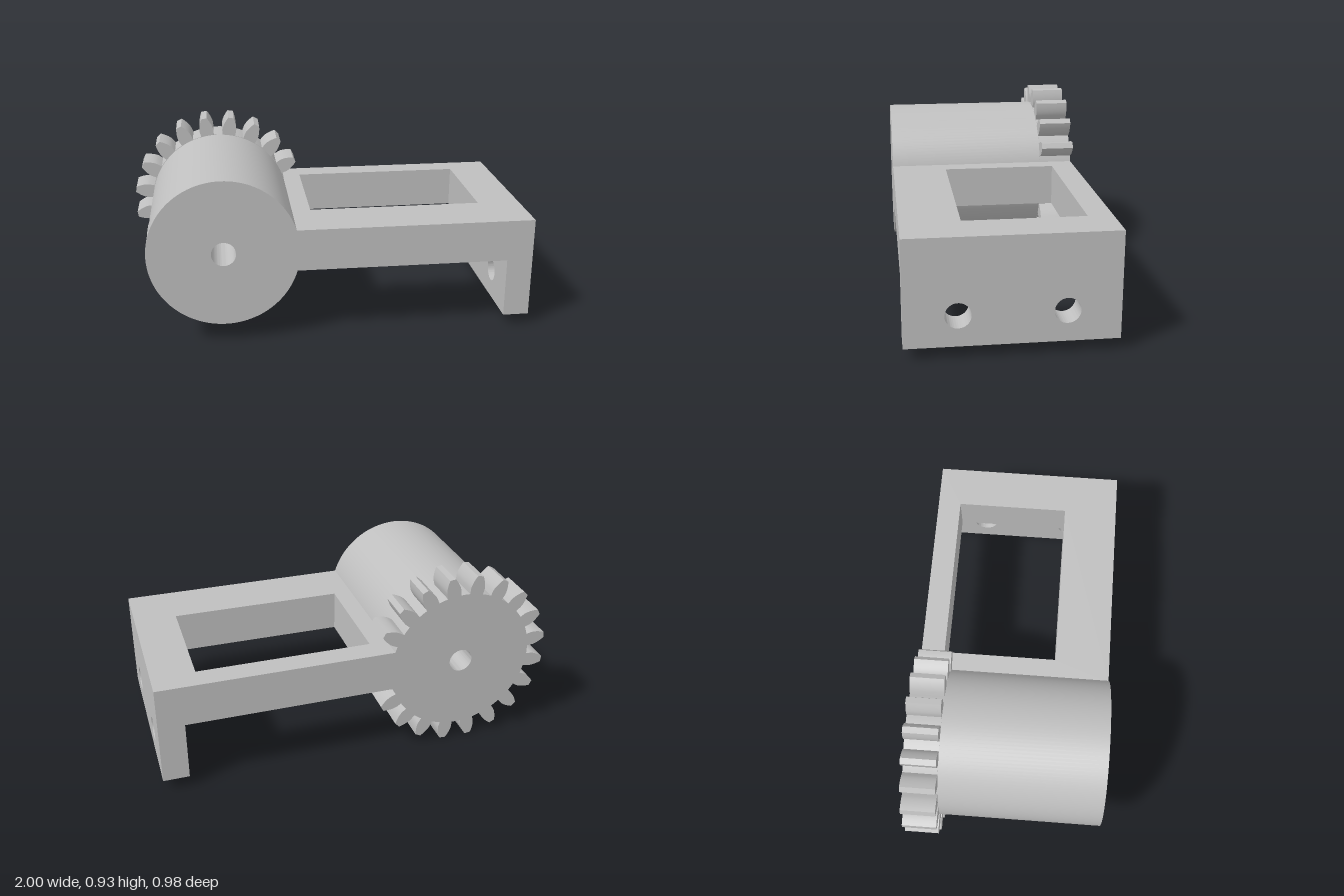
import * as THREE from 'three';
import { toCreasedNormals } from 'three/addons/utils/BufferGeometryUtils.js';

const AXLE = { x: -0.538, y: 0.468, hole: 0.06 };

function circle(x, y, r) {
  return new THREE.Path().absarc(x, y, r, 0, Math.PI * 2, true);
}

function rect(Type, x0, y0, x1, y1) {
  return new Type([[x0, y0], [x1, y0], [x1, y1], [x0, y1]].map(p => new THREE.Vector2(...p)));
}

function extrude(shape, depth) {
  const geo = new THREE.ExtrudeGeometry(shape, { depth, bevelEnabled: false, curveSegments: 64 });
  return toCreasedNormals(geo, 0.4);
}

// Involute spur gear outline; the two teeth buried in the arm are left out
function gearShape(teeth, root, pitch, tip) {
  const step = (Math.PI * 2) / teeth;
  const base = pitch * Math.cos(Math.PI / 9);
  const inv = r => {
    const a = Math.acos(Math.min(1, base / r));
    return Math.tan(a) - a;
  };
  const halfAngle = r => step / 4 + inv(pitch) - inv(Math.max(r, base));
  const radii = [root];
  for (let i = 0; i <= 5; i++) radii.push(base + ((tip - base) * i) / 5);

  const points = [];
  const add = (r, a) => points.push(new THREE.Vector2(r * Math.cos(a), r * Math.sin(a)));
  for (let i = 0; i < teeth; i++) {
    const mid = (i + 0.5) * step;
    if (i === 0 || i === teeth - 1) {
      for (let k = -2; k <= 2; k++) add(root, mid + (k / 4) * halfAngle(root) * 2);
    } else {
      radii.forEach(r => add(r, mid - halfAngle(r)));
      [...radii].reverse().forEach(r => add(r, mid + halfAngle(r)));
    }
    // rounded root between teeth
    const gap = step - 2 * halfAngle(root);
    for (let k = 1; k < 4; k++) add(root, mid + halfAngle(root) + (gap * k) / 4);
  }
  return new THREE.Shape(points);
}

export function createModel() {
  const group = new THREE.Group();
  const grey = new THREE.MeshStandardMaterial({ color: 0xbfbfbf });
  grey.name = 'light grey';

  const addPart = (name, geo, x, y, z) => {
    const mesh = new THREE.Mesh(geo, grey);
    mesh.name = name;
    mesh.position.set(x, y, z);
    group.add(mesh);
  };

  // Drum with axle bore
  const drum = new THREE.Shape().absarc(0, 0, 0.37, 0, Math.PI * 2, false);
  drum.holes.push(circle(0, 0, AXLE.hole));
  addPart('drum', extrude(drum, 0.81), AXLE.x, AXLE.y, -0.32);

  // Spur gear at the back end of the drum
  const gear = gearShape(20, 0.372, 0.425, 0.467);
  gear.holes.push(circle(0, 0, AXLE.hole));
  addPart('gear', extrude(gear, 0.17), AXLE.x, AXLE.y, -0.49);

  // Flat arm with a rectangular window
  const arm = rect(THREE.Shape, -0.19, -0.49, 1, 0.49);
  arm.holes.push(rect(THREE.Path, -0.09, -0.21, 0.785, 0.37));
  addPart('arm', extrude(arm, 0.21).rotateX(-Math.PI / 2), 0, 0.365, 0);

  // Mounting flange hanging from the arm's end, with two bolt holes
  const flange = rect(THREE.Shape, -0.49, 0.063, 0.49, 0.365);
  for (const side of [-1, 1]) flange.holes.push(circle(side * 0.245, 0.21, 0.06));
  addPart('flange', extrude(flange, 0.13).rotateY(Math.PI / 2), 0.87, 0, 0);

  return group;
}
